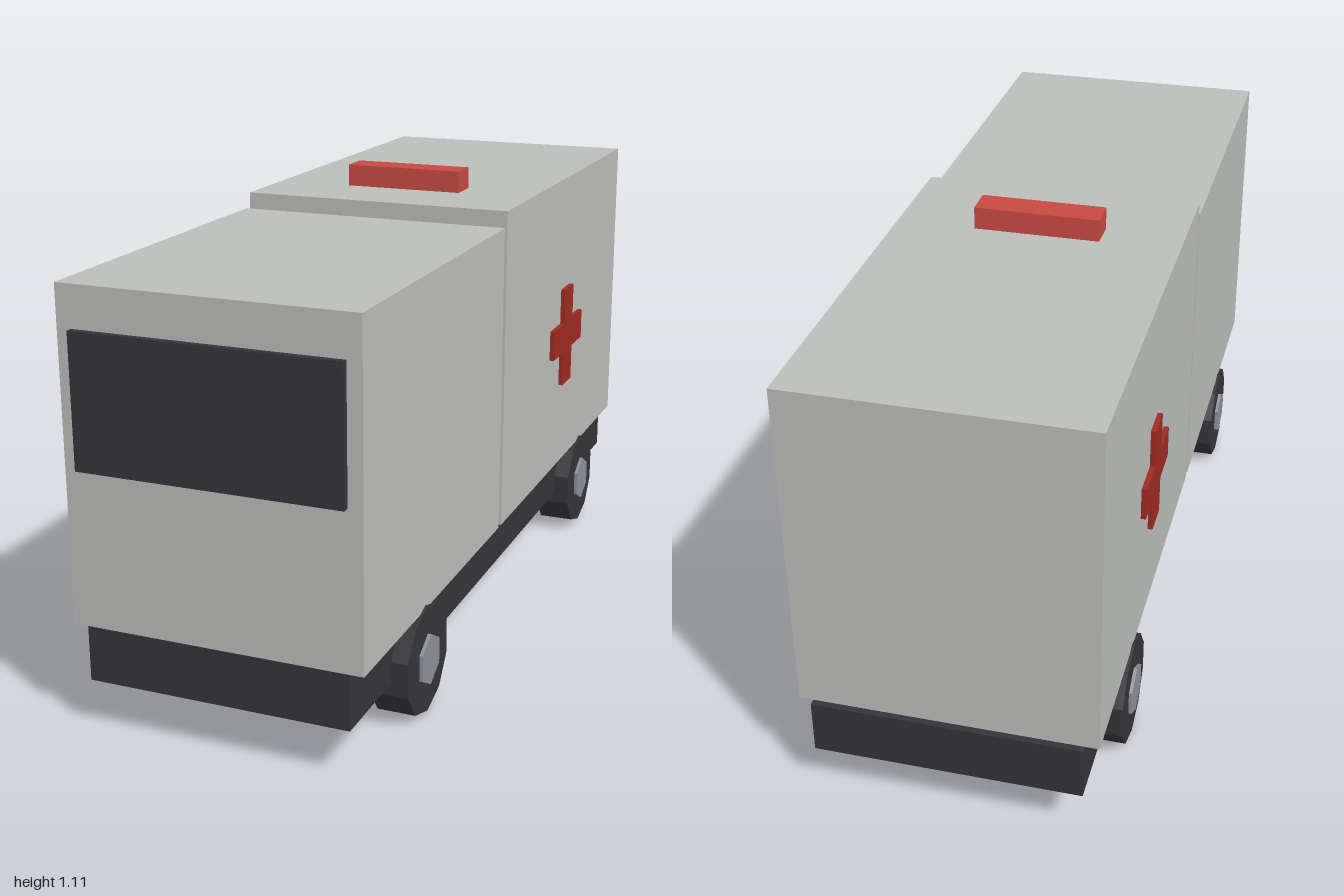
import * as THREE from 'three';

const material = (name, color) => {
  const m = new THREE.MeshStandardMaterial({ color });
  m.name = name;
  return m;
};

export function createModel() {
  const white = material('bodyWhite', 0xbcbebb);
  const dark = material('darkGrey', 0x35343a);
  const red = material('crossRed', 0x9f2b22);
  const brightRed = material('beaconRed', 0xc84a41);
  const steel = material('hubGrey', 0x8a9297);

  const model = new THREE.Group();
  model.name = 'ambulance';

  const add = (name, geometry, mat, parent = model) => {
    const mesh = new THREE.Mesh(geometry, mat);
    mesh.name = name;
    parent.add(mesh);
    return mesh;
  };

  // Box given by half width and its y and z ranges
  const box = (name, mat, halfX, y0, y1, z0, z1) =>
    add(name, new THREE.BoxGeometry(2 * halfX, y1 - y0, z1 - z0), mat)
      .position.set(0, (y0 + y1) / 2, (z0 + z1) / 2);

  box('chassis', dark, 0.31, 0.12, 0.25, -1, 0.983);
  box('cab', white, 0.343, 0.25, 1.016, 0.107, 0.984);
  box('rearCompartment', white, 0.343, 0.25, 1.053, -0.984, 0.087);
  box('windscreen', dark, 0.309, 0.613, 0.92, 0.98, 1);
  box('beacon', brightRed, 0.151, 1.05, 1.107, -0.178, -0.103);

  // Faceted discs lying on the x axis, with a corner pointing up
  const disc = (radius, width, sides) =>
    new THREE.CylinderGeometry(radius, radius, width, sides)
      .toNonIndexed()
      .rotateZ(Math.PI / 2)
      .rotateX(Math.PI / 2);
  const tyre = disc(0.13, 0.091, 10);
  const hub = disc(0.062, 0.107, 6);
  tyre.computeVertexNormals();
  hub.computeVertexNormals();

  // Plus-shaped outline for the side crosses
  const a = 0.135, b = 0.04;
  const outline = [
    [-b, -a], [b, -a], [b, -b], [a, -b], [a, b], [b, b],
    [b, a], [-b, a], [-b, b], [-a, b], [-a, -b], [-b, -b],
  ].map(([x, y]) => new THREE.Vector2(x, y));
  const cross = new THREE.ExtrudeGeometry(new THREE.Shape(outline), {
    depth: 0.014, bevelEnabled: false,
  });

  for (const [sideName, side] of [['left', 1], ['right', -1]]) {
    for (const [axle, z] of [['Front', 0.63], ['Rear', -0.643]]) {
      const wheel = new THREE.Group();
      wheel.name = `${sideName}${axle}Wheel`;
      wheel.position.set(side * 0.304, 0.13, z);
      add('tyre', tyre, dark, wheel);
      add('hub', hub, steel, wheel);
      model.add(wheel);
    }
    const sign = add(`${sideName}Cross`, cross, red);
    sign.rotation.y = side * Math.PI / 2;
    sign.position.set(side * 0.341, 0.616, -0.447);
  }

  return model;
}
